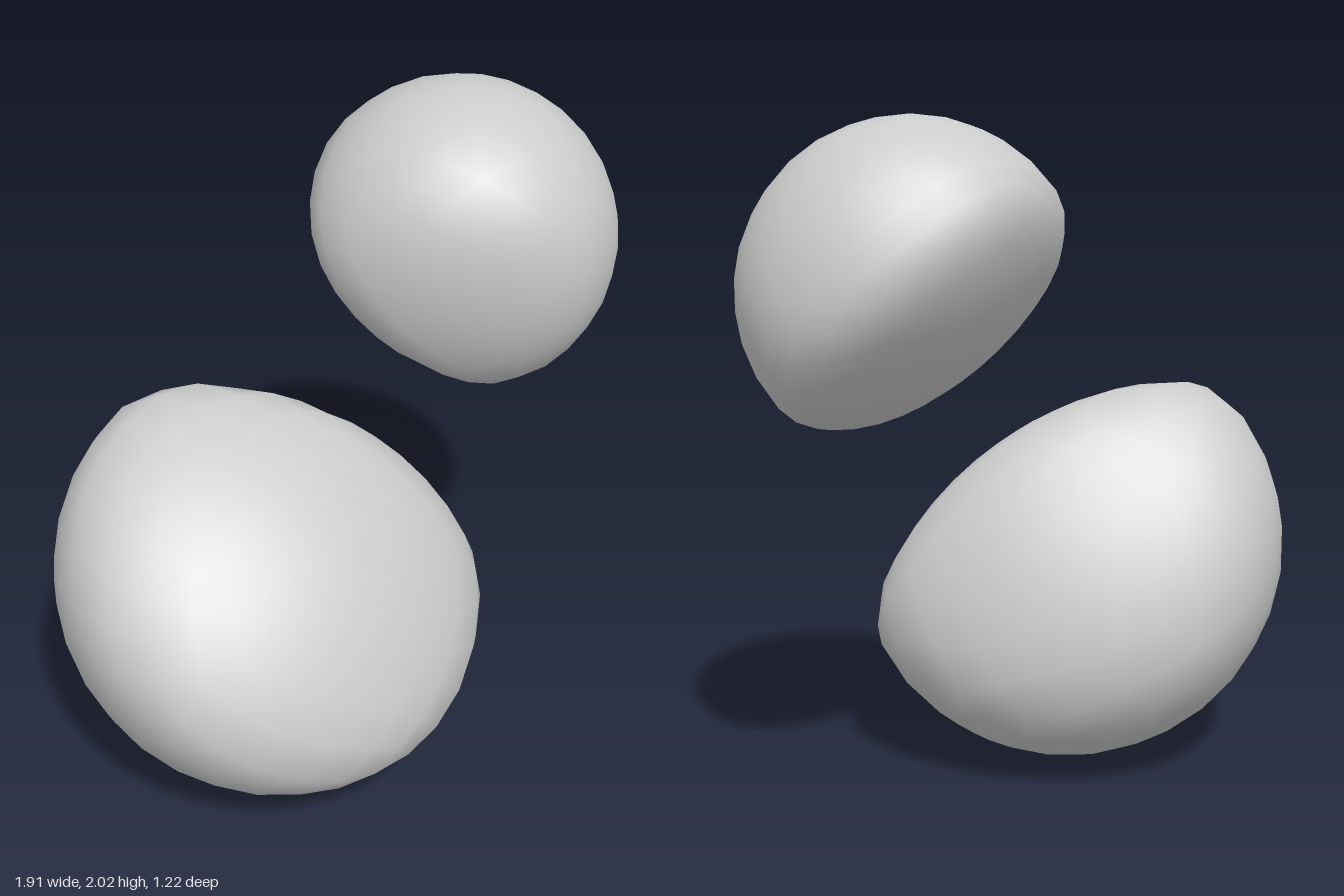
import * as THREE from 'three';
import { mergeVertices } from 'three/addons/utils/BufferGeometryUtils.js';

// Rounded pebble: a sphere softly intersected with larger spheres,
// each leaving a gently curved, flattened face.
// faces: { normal, height of the face above the centre, curve radius of the face }
function pebble(name, center, radius, faces, material) {
  let geo = new THREE.IcosahedronGeometry(1, 5);
  geo.deleteAttribute('uv');
  geo.deleteAttribute('normal');
  geo = mergeVertices(geo, 1e-4);

  // centre of each cutting sphere lies behind the face
  const cuts = faces.map(({ normal, height, curve }) => ({
    curve,
    offset: new THREE.Vector3(...normal).setLength(height - curve),
  }));
  const power = 20;
  const pos = geo.attributes.position;
  const dir = new THREE.Vector3();
  for (let i = 0; i < pos.count; i++) {
    dir.fromBufferAttribute(pos, i).normalize();
    let sum = Math.pow(radius, -power);
    for (const { offset, curve } of cuts) {
      const along = dir.dot(offset);
      const reach = along + Math.sqrt(along * along - offset.lengthSq() + curve * curve);
      sum += Math.pow(reach, -power);
    }
    dir.multiplyScalar(Math.pow(sum, -1 / power));
    pos.setXYZ(i, dir.x, dir.y, dir.z);
  }
  geo.computeVertexNormals();

  const mesh = new THREE.Mesh(geo, material);
  mesh.name = name;
  mesh.position.set(...center);
  return mesh;
}

export function createModel() {
  const group = new THREE.Group();
  group.name = 'pebbles';
  const material = new THREE.MeshStandardMaterial({ color: 0xcccccc });

  // large lower pebble, flattened on its upper front and slightly on its upper back left
  group.add(pebble('largePebble', [-0.275, 0.675, 0.06], 0.685, [
    { normal: [0.08, 0.72, 0.69], height: 0.35, curve: 1.1 },
    { normal: [0.74, 0.47, -0.47], height: 0.46, curve: 1.3 },
  ], material));

  // small upper pebble, flattened underneath towards the back and slightly on two sides
  group.add(pebble('smallPebble', [0.475, 1.52, -0.03], 0.487, [
    { normal: [-0.1, -0.68, -0.73], height: 0.23, curve: 1.0 },
    { normal: [-0.65, -0.25, 0.65], height: 0.41, curve: 0.8 },
    { normal: [0.7, 0.1, -0.7], height: 0.42, curve: 0.75 },
  ], material));

  return group;
}
